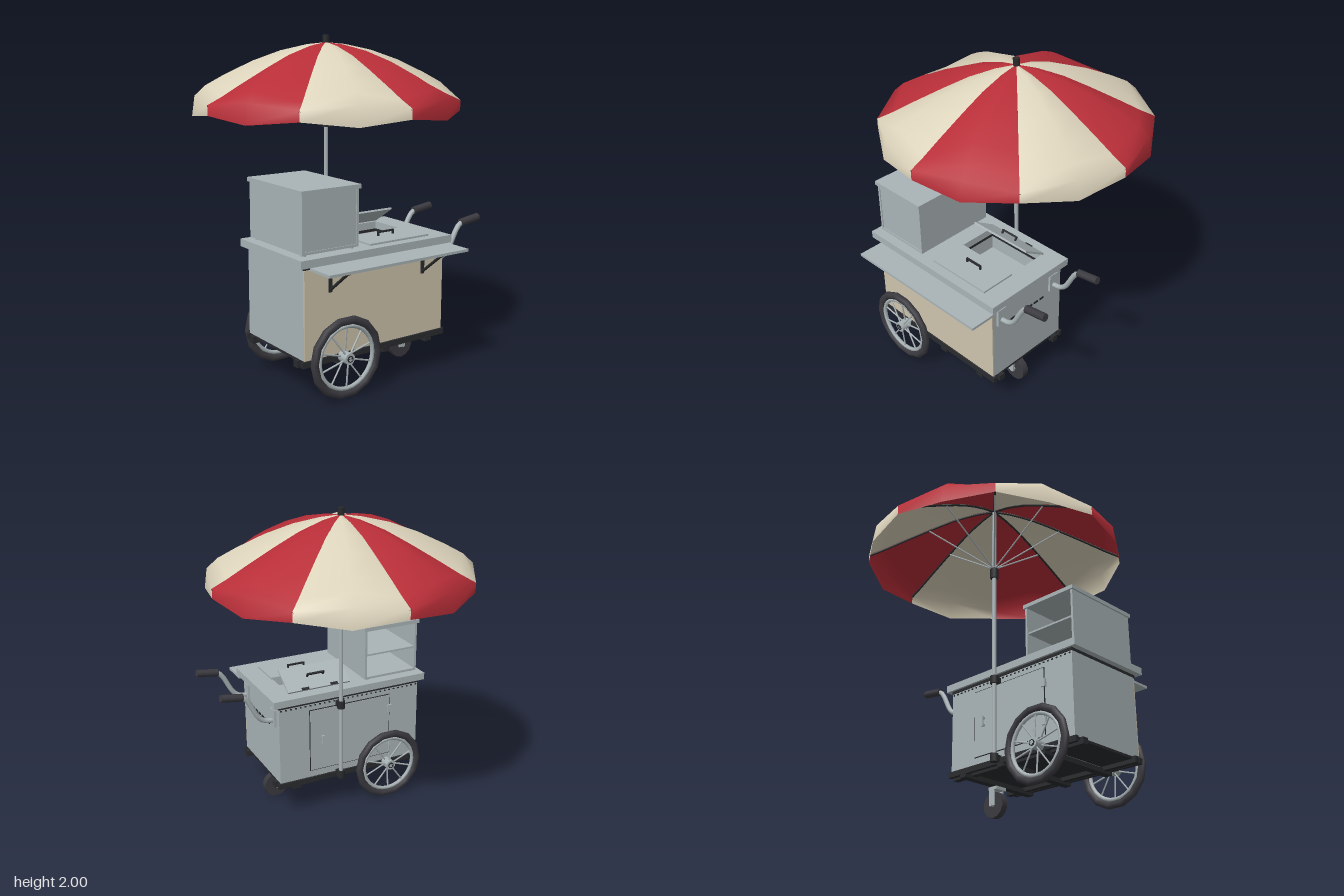
import * as THREE from 'three';

const mat = (name, color, side = THREE.FrontSide) => {
  const m = new THREE.MeshStandardMaterial({ color, side });
  m.name = name;
  return m;
};

export function createModel() {
  const steel = mat('steel', 0xaab4b7);
  const dark = mat('darkMetal', 0x2a2b2e);
  const rubber = mat('rubber', 0x3a3a40);
  const beige = mat('beigePanel', 0xcfc5ad);
  const cream = mat('creamCloth', 0xdcd3bb, THREE.DoubleSide);
  const red = mat('redCloth', 0xb82e38, THREE.DoubleSide);

  const root = new THREE.Group();
  root.name = 'foodCart';
  const V = (x, y, z) => new THREE.Vector3(x, y, z);
  const add = (name, geo, m, parent = root) => {
    const mesh = new THREE.Mesh(geo, m);
    mesh.name = name;
    parent.add(mesh);
    return mesh;
  };
  const group = (name, parent = root) => {
    const g = new THREE.Group();
    g.name = name;
    parent.add(g);
    return g;
  };
  // Box given by its limits on each axis
  const box = (name, m, x0, x1, y0, y1, z0, z1, parent) => {
    const mesh = add(name, new THREE.BoxGeometry(x1 - x0, y1 - y0, z1 - z0), m, parent);
    mesh.position.set((x0 + x1) / 2, (y0 + y1) / 2, (z0 + z1) / 2);
    return mesh;
  };
  // Cylinder between two points
  const rod = (name, m, a, b, r, parent, seg = 8) => {
    const mesh = add(name, new THREE.CylinderGeometry(r, r, a.distanceTo(b), seg), m, parent);
    mesh.position.copy(a).lerp(b, 0.5);
    mesh.quaternion.setFromUnitVectors(V(0, 1, 0), b.clone().sub(a).normalize());
    return mesh;
  };
  // Horizontal slab with the food well cut through it
  const well = { x0: -0.105, x1: 0.31, z0: 0.11, z1: 0.585 };
  const slab = (name, m, x0, x1, z0, z1, y0, y1) => {
    const rect = (p, a, b, c, d) => {
      p.moveTo(a, -c); p.lineTo(a, -d); p.lineTo(b, -d); p.lineTo(b, -c); p.closePath();
      return p;
    };
    const s = rect(new THREE.Shape(), x0, x1, z0, z1);
    s.holes.push(rect(new THREE.Path(), well.x0, well.x1, well.z0, well.z1));
    const geo = new THREE.ExtrudeGeometry(s, { depth: y1 - y0, bevelEnabled: false });
    geo.rotateX(-Math.PI / 2);
    add(name, geo, m).position.y = y0;
  };
  // Small bar handle lying on top of a lid
  const barHandle = (parent, x, y, z) => {
    for (const s of [-1, 1]) box('handlePost', dark, x + s * 0.055 - 0.005, x + s * 0.055 + 0.005, y, y + 0.025, z - 0.005, z + 0.005, parent);
    box('handleBar', dark, x - 0.06, x + 0.06, y + 0.018, y + 0.028, z - 0.006, z + 0.006, parent);
  };

  // Body and counter
  box('body', steel, -0.585, 0.41, 0.25, 0.68, 0.04, 0.622);
  slab('upperBody', steel, -0.585, 0.41, 0.04, 0.622, 0.68, 0.768);
  box('frontPanel', beige, -0.585, 0.41, 0.252, 0.765, 0.622, 0.629);
  slab('darkTrim', dark, -0.588, 0.413, 0.035, 0.632, 0.768, 0.786);
  slab('counter', steel, -0.625, 0.45, 0.02, 0.66, 0.786, 0.832);
  for (let i = 0; i < 30; i++) {
    const x = -0.57 + i * 0.0333;
    box('rivet', dark, x - 0.005, x + 0.005, 0.752, 0.76, 0.035, 0.041);
  }

  // Closed front lid and raised rear lid
  const closedLid = group('closedLid');
  box('lidPlate', steel, -0.115, 0.32, 0.83, 0.843, 0.37, 0.6, closedLid);
  barHandle(closedLid, 0.1, 0.843, 0.47);
  const openLid = group('openLid');
  openLid.position.set(0, 0.835, 0.1);
  openLid.rotation.x = -0.57;
  box('lidPlate', steel, -0.115, 0.32, 0, 0.012, 0, 0.185, openLid);
  barHandle(openLid, 0.1, 0.012, 0.095);
  for (const x of [0, 0.2]) box('lidHinge', dark, x - 0.025, x + 0.025, 0.01, 0.017, 0, 0.015, openLid);

  // Display box, open at the back
  const cabinet = group('displayBox');
  box('leftWall', steel, -0.22, -0.205, 0.85, 1.175, 0.065, 0.61, cabinet);
  box('rightWall', steel, -0.585, -0.57, 0.85, 1.175, 0.065, 0.61, cabinet);
  box('frontWall', steel, -0.57, -0.22, 0.85, 1.175, 0.595, 0.605, cabinet);
  box('floor', steel, -0.585, -0.205, 0.845, 0.86, 0.065, 0.61, cabinet);
  box('middleShelf', steel, -0.57, -0.22, 1.0, 1.012, 0.075, 0.595, cabinet);
  box('roof', steel, -0.595, -0.195, 1.175, 1.2, 0.055, 0.62, cabinet);
  for (const x of [-0.555, -0.235]) for (const z of [0.1, 0.575])
    rod('foot', steel, V(x, 0.83, z), V(x, 0.85, z), 0.015, cabinet);

  // Folding front shelf with braces
  box('frontShelf', steel, -0.55, 0.445, 0.762, 0.778, 0.632, 0.815);
  for (const x of [-0.415, 0.25]) {
    rod('shelfBrace', dark, V(x, 0.757, 0.79), V(x, 0.635, 0.635), 0.009);
    box('braceMount', dark, x - 0.011, x + 0.011, 0.62, 0.762, 0.628, 0.637);
    box('braceTop', dark, x - 0.011, x + 0.011, 0.753, 0.762, 0.632, 0.8);
  }

  // Rear door, hinges and latch
  box('rearDoor', steel, -0.37, 0.2, 0.3, 0.72, 0.033, 0.039);
  for (const [x0, x1, y0, y1] of [[-0.374, -0.37, 0.3, 0.72], [0.2, 0.204, 0.3, 0.72], [-0.374, 0.204, 0.72, 0.724], [-0.374, 0.204, 0.296, 0.3]])
    box('doorGap', dark, x0, x1, y0, y1, 0.035, 0.0405);
  for (const y of [0.39, 0.625]) box('doorHinge', steel, -0.385, -0.355, y - 0.025, y + 0.025, 0.024, 0.04);
  for (const y of [0.485, 0.53]) box('latchPost', steel, 0.11, 0.122, y - 0.006, y + 0.006, 0.012, 0.035);
  box('latchBar', steel, 0.109, 0.123, 0.475, 0.54, 0.01, 0.018);

  // Vent slots on the handle end
  for (let i = 0; i < 6; i++) {
    const z = 0.21 + i * 0.05;
    box('ventSlot', dark, 0.408, 0.414, 0.608, 0.621, z - 0.017, z + 0.017);
  }

  // Push handles
  for (const z of [0.115, 0.56]) {
    const h = group('pushHandle');
    box('mountPlate', steel, 0.41, 0.425, 0.635, 0.75, z - 0.033, z + 0.033, h);
    const path = new THREE.CatmullRomCurve3([[0.42, 0.672], [0.475, 0.68], [0.515, 0.71], [0.58, 0.825], [0.61, 0.86], [0.64, 0.868]].map(p => V(p[0], p[1], z)));
    add('arm', new THREE.TubeGeometry(path, 14, 0.016, 8), steel, h);
    rod('grip', rubber, V(0.615, 0.866, z), V(0.757, 0.886, z), 0.024, h, 10);
  }

  // Underframe
  box('basePlate', dark, -0.585, 0.41, 0.235, 0.251, 0.04, 0.625);
  for (const z of [0.1, 0.575]) box('longRail', dark, -0.61, 0.435, 0.21, 0.25, z - 0.02, z + 0.02);
  for (const z of [0.04, 0.625]) box('edgeRail', dark, -0.6, 0.425, 0.215, 0.25, z - 0.012, z + 0.012);
  for (const x of [-0.345, -0.02, 0.3]) box('crossRail', dark, x - 0.025, x + 0.025, 0.195, 0.225, 0.03, 0.64);
  rod('axle', steel, V(-0.345, 0.245, -0.055), V(-0.345, 0.245, 0.73), 0.014);

  // Spoked wheels
  for (const z of [-0.015, 0.69]) {
    const w = group('bigWheel');
    w.position.set(-0.345, 0.245, z);
    const tire = add('tire', new THREE.TorusGeometry(0.216, 0.025, 8, 14), rubber, w);
    tire.scale.z = 0.85;
    add('rim', new THREE.TorusGeometry(0.182, 0.013, 6, 28), steel, w);
    rod('hub', steel, V(0, 0, -0.035), V(0, 0, 0.035), 0.034, w, 10);
    rod('hubCap', dark, V(0, 0, -0.04), V(0, 0, 0.04), 0.02, w, 8);
    for (let i = 0; i < 10; i++) {
      const a = (i + 0.5) * Math.PI / 5, c = Math.cos(a), s = Math.sin(a);
      rod('spoke', steel, V(c * 0.025, s * 0.025, i % 2 ? 0.015 : -0.015), V(c * 0.18, s * 0.18, 0), 0.0055, w, 6);
    }
  }

  // Caster
  const caster = group('caster');
  rod('casterWheel', rubber, V(0.325, 0.085, 0.318), V(0.325, 0.085, 0.362), 0.083, caster, 14);
  rod('casterAxle', steel, V(0.325, 0.085, 0.295), V(0.325, 0.085, 0.385), 0.014, caster);
  box('forkTop', steel, 0.275, 0.345, 0.175, 0.195, 0.297, 0.383, caster);
  for (const z of [0.302, 0.378]) box('forkLeg', steel, 0.295, 0.34, 0.075, 0.18, z - 0.005, z + 0.005, caster);

  // Umbrella pole and fittings
  const umbrella = group('umbrella');
  rod('pole', steel, V(0, 0.24, 0), V(0, 1.97, 0), 0.0135, umbrella, 10);
  rod('topCap', dark, V(0, 1.945, 0), V(0, 2, 0), 0.021, umbrella, 6);
  rod('collar', dark, V(0, 1.445, 0), V(0, 1.515, 0), 0.026, umbrella, 8);
  rod('runner', steel, V(0, 1.515, 0), V(0, 1.54, 0), 0.019, umbrella, 8);
  for (const y of [0.245, 0.74]) {
    rod('poleClamp', dark, V(0, y - 0.025, 0), V(0, y + 0.025, 0), 0.026, umbrella, 8);
    box('clampArm', dark, -0.02, 0.02, y - 0.018, y + 0.018, 0, 0.045, umbrella);
  }

  // Canopy: radius and height along a rib and along the middle of a panel
  const rib = [[0.018, 1.955], [0.12, 1.935], [0.27, 1.885], [0.42, 1.815], [0.6, 1.725], [0.72, 1.662], [0.812, 1.62], [0.812, 1.56]];
  const mid = [[0.018, 1.955], [0.12, 1.945], [0.28, 1.91], [0.45, 1.85], [0.62, 1.77], [0.73, 1.71], [0.795, 1.65], [0.812, 1.53]];
  const n = rib.length;
  for (let k = 0; k < 8; k++) {
    const a0 = k * Math.PI / 4, pos = [], idx = [];
    for (let j = 0; j < 3; j++) {
      const a = a0 + j * Math.PI / 8;
      for (const [r, y] of j === 1 ? mid : rib) pos.push(r * Math.sin(a), y, r * Math.cos(a));
    }
    for (let j = 0; j < 2; j++) for (let i = 0; i < n - 1; i++) {
      const p = j * n + i, q = p + n;
      idx.push(p, p + 1, q, q, p + 1, q + 1);
    }
    const geo = new THREE.BufferGeometry();
    geo.setAttribute('position', new THREE.Float32BufferAttribute(pos, 3));
    geo.setIndex(idx);
    geo.computeVertexNormals();
    add('canopyPanel', geo, k % 2 ? cream : red, umbrella);

    // Rib under the seam and its strut
    const at = (r, y) => V(r * Math.sin(a0), y, r * Math.cos(a0));
    const curve = new THREE.CatmullRomCurve3(rib.slice(0, 7).map(([r, y]) => at(r, y - 0.009)));
    add('canopyRib', new THREE.TubeGeometry(curve, 10, 0.007, 5), dark, umbrella);
    rod('strut', steel, at(0.018, 1.525), at(0.43, 1.8), 0.005, umbrella, 6);
  }
  return root;
}
